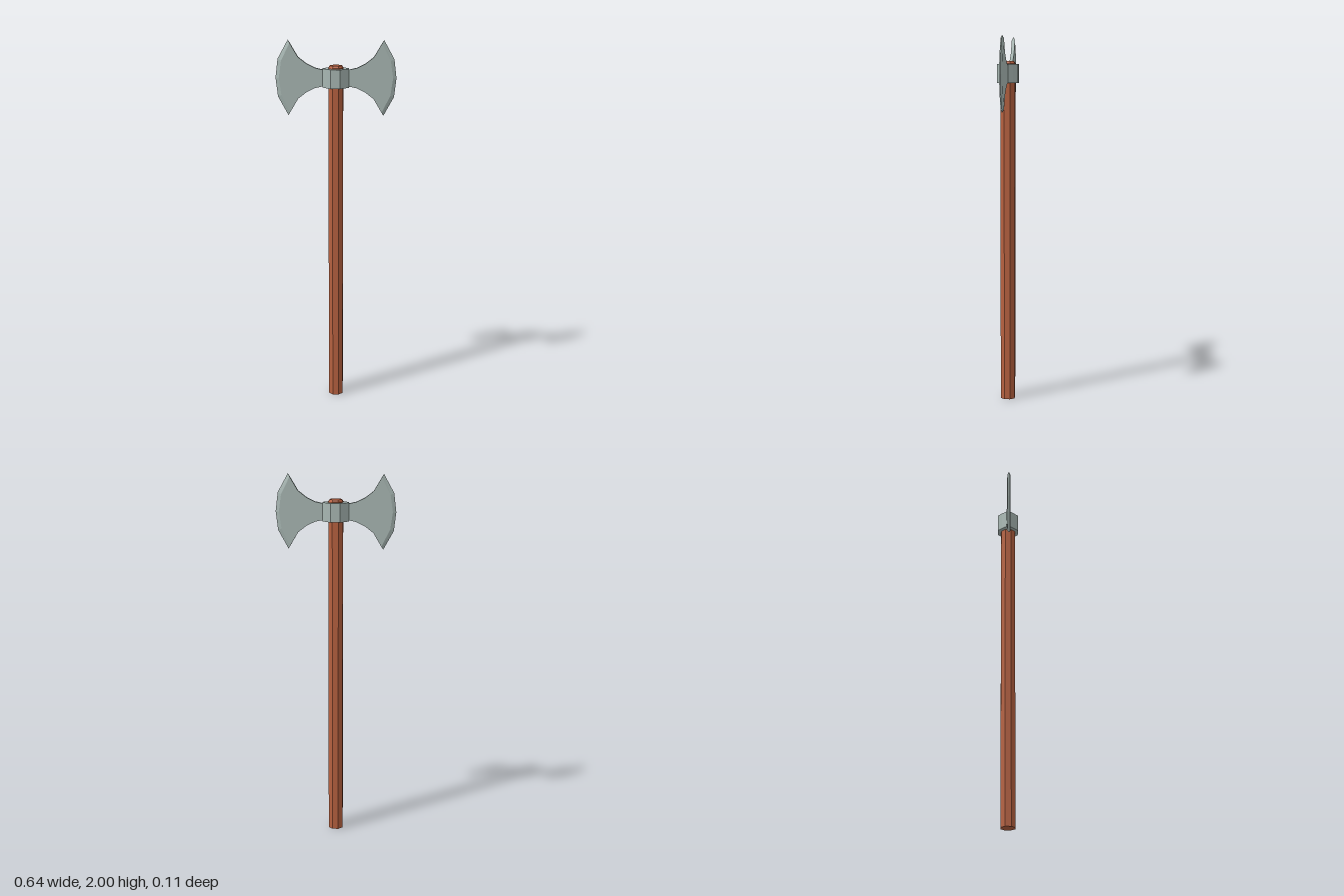
import * as THREE from 'three';

const HEAD_Y = 1.8;

// Joins closed loops of points into a flat-shaded skin
function skin(loops) {
  const pos = [];
  const n = loops[0].length;
  for (let i = 0; i < loops.length - 1; i++) {
    for (let j = 0; j < n; j++) {
      const k = (j + 1) % n;
      const a = loops[i][j], b = loops[i + 1][j], c = loops[i + 1][k], d = loops[i][k];
      pos.push(...a, ...b, ...c, ...a, ...c, ...d);
    }
  }
  const g = new THREE.BufferGeometry();
  g.setAttribute('position', new THREE.Float32BufferAttribute(pos, 3));
  g.computeVertexNormals();
  return g;
}

// One column of the blade: front points bottom to top, then back points top to bottom
function column(xAt, half, z) {
  const rows = [-1, -0.5, 0, 0.5, 1];
  const front = rows.map((t) => [xAt(Math.abs(t)), t * half, z]);
  const back = rows.map((t) => [xAt(Math.abs(t)), -t * half, -z]).map(([x, y, zz], i) => [xAt(Math.abs(rows[i])), y, zz]);
  return [...front, ...back];
}

function bladeGeometry() {
  const T = 0.009;
  const loops = [[0.06, 0.045], [0.075, 0.045], [0.11, 0.053], [0.155, 0.075], [0.2, 0.11]]
    .map(([x, h]) => column(() => x, h, T));
  // start of the bevel, then the sharp cutting edge
  const curve = (tip, mid, belly) => (t) => (t === 1 ? tip : t === 0.5 ? mid : belly);
  loops.push(column(curve(0.243, 0.289, 0.302), 0.183, T));
  loops.push(column(curve(0.253, 0.308, 0.32), 0.2, 0));
  return skin(loops);
}

export function createModel() {
  const model = new THREE.Group();
  model.name = 'doubleAxe';
  const wood = new THREE.MeshStandardMaterial({ name: 'reddish wood', color: 0xb5603f, flatShading: true });
  const steel = new THREE.MeshStandardMaterial({ name: 'grey steel', color: 0xa6b5b1, flatShading: true });

  const add = (name, geometry, material) => {
    const mesh = new THREE.Mesh(geometry, material);
    mesh.name = name;
    model.add(mesh);
    return mesh;
  };

  // Eight-sided shaft with a chamfered top
  const profile = [[0, 0], [0.042, 0], [0.042, 1.855], [0.034, 1.866], [0, 1.866]]
    .map(([r, y]) => new THREE.Vector2(r, y));
  add('handle', new THREE.LatheGeometry(profile, 8, Math.PI / 8), wood);

  // Collar around the shaft, drawn from above and extruded upwards
  const quarter = [[0.07, 0.009], [0.049, 0.034], [0.025, 0.057]];
  const flip = (sx, sz) => quarter.map(([x, z]) => new THREE.Vector2(x * sx, z * sz));
  const outline = [...flip(1, 1), ...flip(-1, 1).reverse(), ...flip(-1, -1), ...flip(1, -1).reverse()];
  const collar = new THREE.ExtrudeGeometry(new THREE.Shape(outline), { depth: 0.1, bevelEnabled: false });
  collar.rotateX(-Math.PI / 2);
  add('collar', collar, steel).position.y = HEAD_Y - 0.05;

  // Matching blades on both sides
  const blade = bladeGeometry();
  add('leftBlade', blade, steel).position.y = HEAD_Y;
  const right = add('rightBlade', blade, steel);
  right.position.y = HEAD_Y;
  right.rotation.y = Math.PI;

  return model;
}
